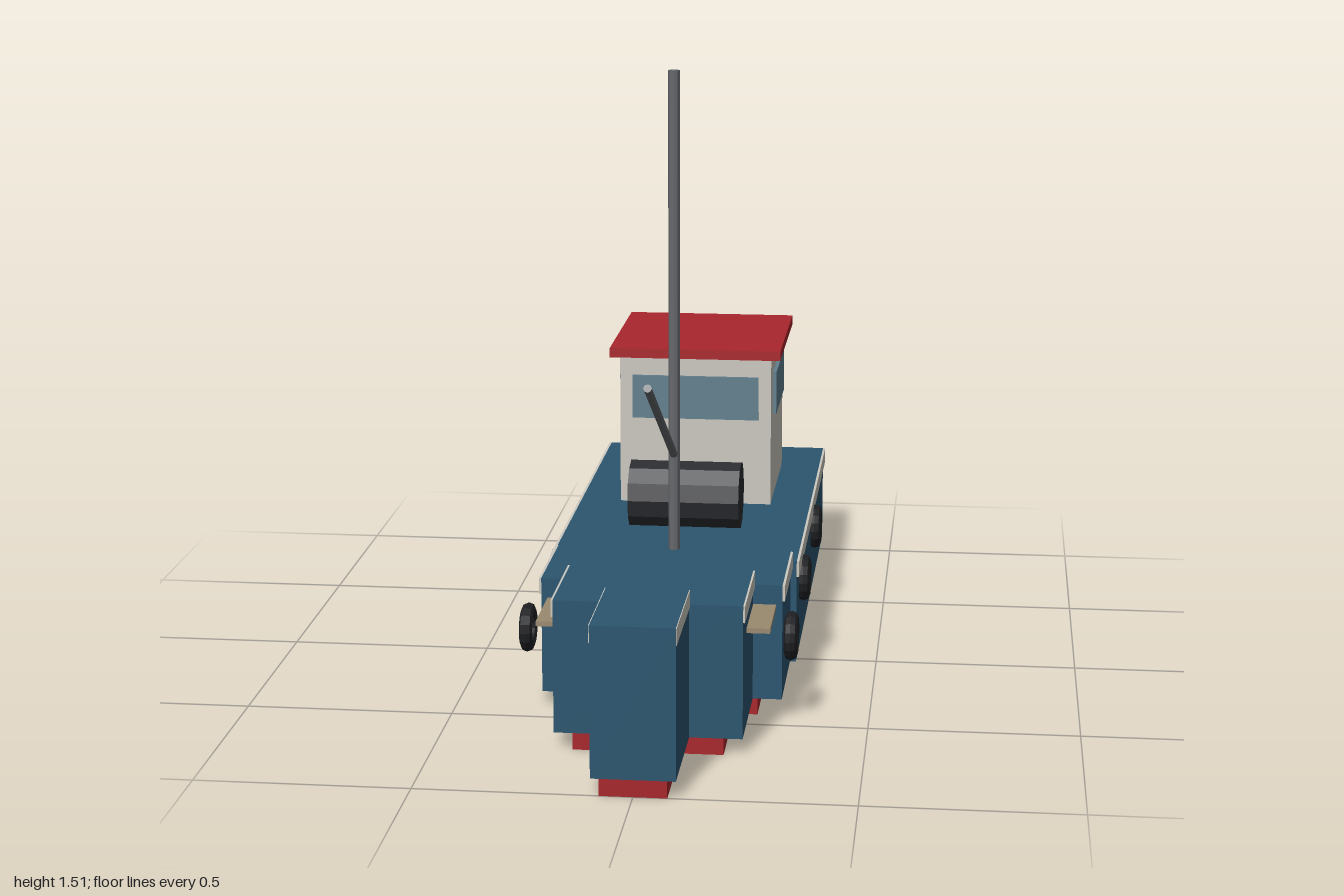
import * as THREE from 'three';

const material = (color) => new THREE.MeshStandardMaterial({ color, flatShading: true });

export function createModel() {
  const boat = new THREE.Group();
  const blue = material(0x2c5670), red = material(0xa8262c), cream = material(0xcdc9c0);
  const glass = material(0x62808f), dark = material(0x2b2d31), steel = material(0x66686c);
  const rubber = material(0x1f2023), wood = material(0x9a8a70);

  const add = (name, geometry, mat) => {
    const mesh = new THREE.Mesh(geometry, mat);
    mesh.name = name;
    boat.add(mesh);
    return mesh;
  };
  // Box given by its lower and upper limits on each axis
  const box = (name, mat, [x0, x1], [y0, y1], [z0, z1]) =>
    add(name, new THREE.BoxGeometry(x1 - x0, y1 - y0, z1 - z0), mat)
      .position.set((x0 + x1) / 2, (y0 + y1) / 2, (z0 + z1) / 2);
  // Round pole between two points
  const pole = (name, from, to, radius) => {
    const a = new THREE.Vector3(...from), d = new THREE.Vector3(...to).sub(a);
    const mesh = add(name, new THREE.CylinderGeometry(radius, radius, d.length(), 8), steel);
    mesh.position.copy(a).addScaledVector(d, 0.5);
    mesh.quaternion.setFromUnitVectors(new THREE.Vector3(0, 1, 0), d.normalize());
  };

  // Stepped hull, narrowing and rising to the bow: half width, top, z range
  const sections = [
    [0.305, 0.3, -1, 0.143],
    [0.29, 0.325, 0.143, 0.429],
    [0.22, 0.36, 0.429, 0.714],
    [0.096, 0.395, 0.714, 1],
  ];
  for (const [w, top, z0, z1] of sections) {
    box('hullSection', blue, [-w, w], [0.04, top], [z0, z1]);
    box('keelSection', red, [-w * 0.8, w * 0.8], [0, 0.04], [z0, z1]);
    const outer = w * 1.02;
    box('leftGunwale', cream, [w, outer], [top - 0.04, top], [z0, z1]);
    box('rightGunwale', cream, [-outer, -w], [top - 0.04, top], [z0, z1]);
  }

  // Wheelhouse
  box('cabin', cream, [-0.2, 0.2], [0.3, 0.695], [-0.808, -0.38]);
  box('cabinRoof', red, [-0.225, 0.225], [0.695, 0.72], [-0.834, -0.359]);
  box('frontWindow', glass, [-0.167, 0.167], [0.53, 0.645], [-0.385, -0.373]);

  // Winch drum, mast and boom
  const drum = add('winchDrum', new THREE.CylinderGeometry(0.087, 0.087, 0.284, 12), dark);
  drum.rotation.z = Math.PI / 2;
  drum.position.set(0, 0.388, -0.142);
  pole('mast', [0, 0.3, 0.145], [0, 1.515, 0.145], 0.014);
  pole('boom', [0, 0.565, 0.145], [0, 0.862, 0.702], 0.01);

  // Fittings on both sides
  for (const s of [-1, 1]) {
    const span = (a, b) => (s > 0 ? [a, b] : [-b, -a]);
    box('sideWindow', glass, span(0.195, 0.209), [0.53, 0.645], [-0.738, -0.45]);
    box('sidePlank', wood, span(0.2, 0.275), [0.265, 0.277], [0.42, 0.617]);
    for (const z of [-0.475, 0, 0.477]) {
      const tire = add('tireFender', new THREE.TorusGeometry(0.043, 0.016, 8, 16), rubber);
      tire.rotation.y = Math.PI / 2;
      tire.position.set(s * 0.315, 0.217, z);
    }
  }
  return boat;
}
